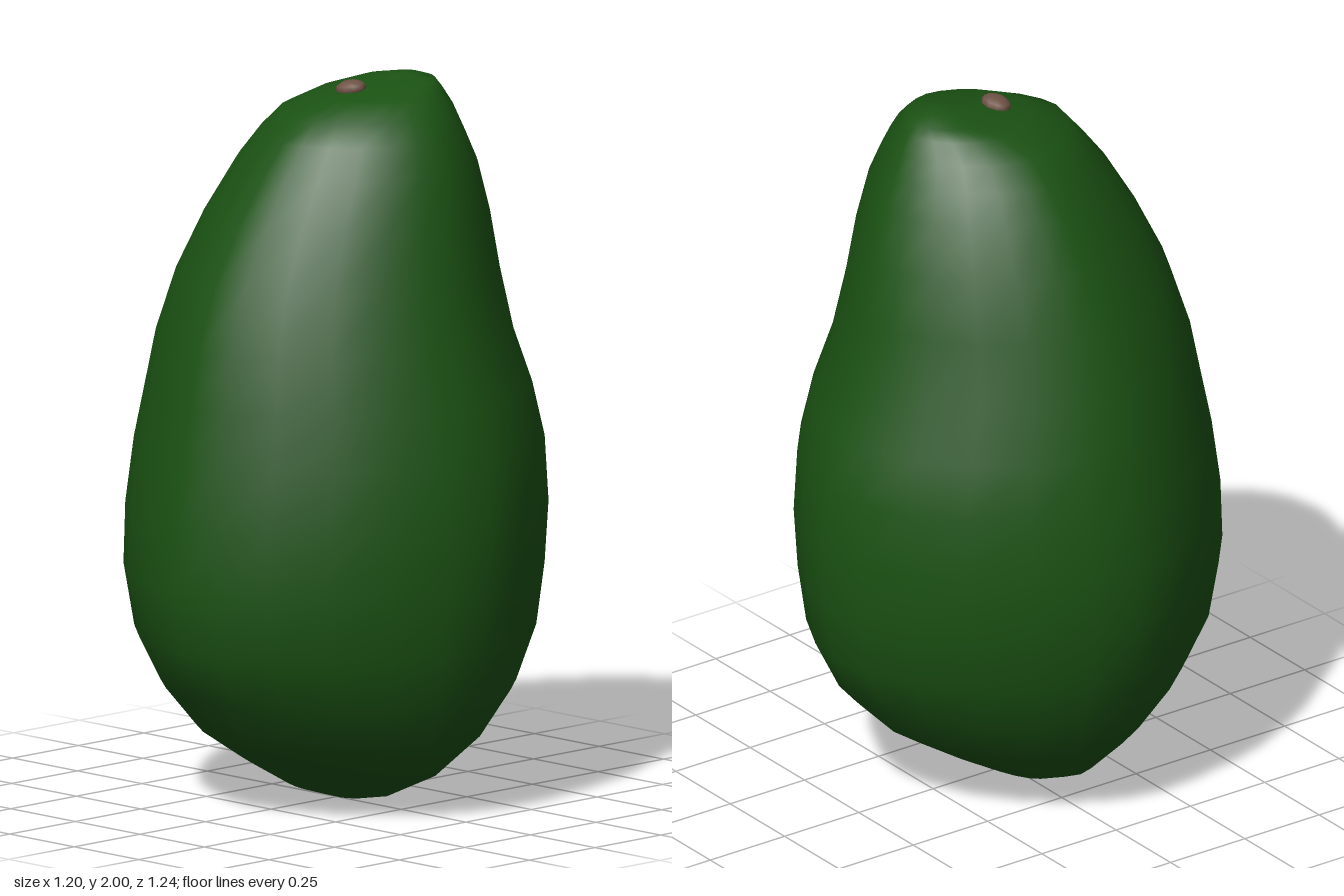
import * as THREE from 'three';

// Horizontal sections of the fruit: [y, xMin, xMax, zMin, zMax]
const SECTIONS = [
  [0.006, -0.06, 0.08, -0.02, 0.02],
  [0.03, -0.18, 0.2, -0.09, 0.1],
  [0.1, -0.33, 0.355, -0.21, 0.22],
  [0.2, -0.425, 0.46, -0.37, 0.39],
  [0.33, -0.51, 0.53, -0.5, 0.51],
  [0.48, -0.56, 0.57, -0.58, 0.6],
  [0.65, -0.6, 0.59, -0.61, 0.62],
  [0.82, -0.6, 0.597, -0.62, 0.615],
  [1.0, -0.58, 0.58, -0.61, 0.59],
  [1.15, -0.545, 0.55, -0.57, 0.56],
  [1.3, -0.505, 0.51, -0.51, 0.53],
  [1.47, -0.45, 0.465, -0.47, 0.475],
  [1.63, -0.38, 0.43, -0.43, 0.4],
  [1.77, -0.3, 0.39, -0.38, 0.32],
  [1.85, -0.24, 0.35, -0.34, 0.26],
  [1.91, -0.18, 0.31, -0.31, 0.21],
  [1.955, -0.1, 0.25, -0.28, 0.1],
  [1.98, -0.03, 0.19, -0.26, -0.06],
  [1.995, 0.05, 0.13, -0.21, -0.12],
];
const SIDES = 24;
const ROUNDNESS = 1.72; // 2 is an ellipse, 1 a diamond

// Loft the sections as superellipses and close both ends with a point
function fruitGeometry() {
  const positions = [];
  const index = [];
  const power = (v) => Math.sign(v) * Math.abs(v) ** (2 / ROUNDNESS);
  for (const [y, x0, x1, z0, z1] of SECTIONS) {
    for (let i = 0; i < SIDES; i++) {
      const a = (i / SIDES) * Math.PI * 2;
      positions.push(
        (x0 + x1) / 2 + ((x1 - x0) / 2) * power(Math.cos(a)), y,
        (z0 + z1) / 2 + ((z1 - z0) / 2) * power(Math.sin(a)));
    }
  }
  const bottom = SECTIONS.length * SIDES;
  const top = bottom + 1;
  positions.push(0.02, 0, 0, 0.09, 2, -0.165);

  const lastRow = (SECTIONS.length - 1) * SIDES;
  for (let i = 0; i < SIDES; i++) {
    const j = (i + 1) % SIDES;
    for (let row = 0; row < lastRow; row += SIDES) {
      const a = row + i, b = row + j;
      index.push(a, a + SIDES, b, b, a + SIDES, b + SIDES);
    }
    index.push(bottom, i, j, top, lastRow + j, lastRow + i);
  }
  const geometry = new THREE.BufferGeometry();
  geometry.setAttribute('position', new THREE.Float32BufferAttribute(positions, 3));
  geometry.setIndex(index);
  geometry.computeVertexNormals();
  return geometry;
}

export function createModel() {
  const group = new THREE.Group();
  group.name = 'avocado';

  const fruit = new THREE.Mesh(fruitGeometry(),
    new THREE.MeshStandardMaterial({ color: 0x1b5213 }));
  fruit.name = 'fruitBody';
  group.add(fruit);

  // Small flattened stem stub
  const stem = new THREE.Mesh(new THREE.SphereGeometry(1, 10, 6),
    new THREE.MeshStandardMaterial({ color: 0x6f5346 }));
  stem.name = 'stem';
  stem.scale.set(0.046, 0.022, 0.04);
  stem.position.set(0.063, 1.972, 0.008);
  stem.rotation.set(0.15, 0, 0.1);
  group.add(stem);

  return group;
}
